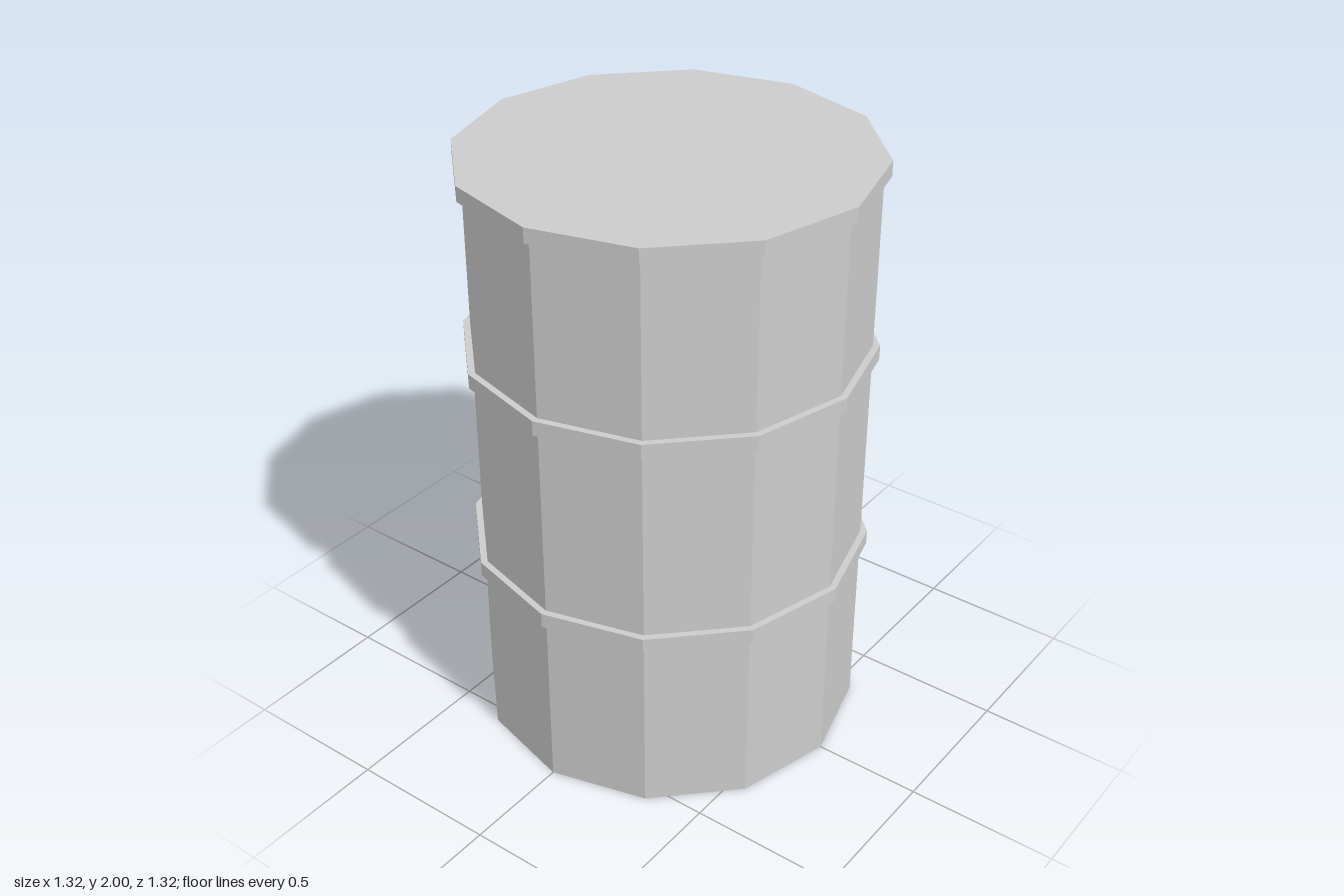
import * as THREE from 'three';

const SIDES = 12;
const BODY_RADIUS = 0.639;
const RIM_RADIUS = 0.661;
const BAND_HEIGHT = 0.05;

export function createModel() {
  const drum = new THREE.Group();
  drum.name = 'drum';
  const steel = new THREE.MeshStandardMaterial({ color: 0xcccccc, flatShading: true });
  steel.name = 'grey steel';

  const add = (name, geometry, y) => {
    const mesh = new THREE.Mesh(geometry, steel);
    mesh.name = name;
    mesh.position.y = y;
    drum.add(mesh);
  };

  // Body, closed at the bottom and running up to the underside of the lid
  const bodyHeight = 2 - BAND_HEIGHT;
  add('body', new THREE.CylinderGeometry(BODY_RADIUS, BODY_RADIUS, bodyHeight, SIDES), bodyHeight / 2);

  // Overhanging lid
  add('lid', new THREE.CylinderGeometry(RIM_RADIUS, RIM_RADIUS, BAND_HEIGHT, SIDES), 2 - BAND_HEIGHT / 2);

  // Raised hoops around the body
  const h = BAND_HEIGHT / 2;
  const profile = [[BODY_RADIUS, -h], [RIM_RADIUS, -h], [RIM_RADIUS, h], [BODY_RADIUS, h]]
    .map(([r, y]) => new THREE.Vector2(r, y));
  const hoop = new THREE.LatheGeometry(profile, SIDES);
  add('lowerHoop', hoop, 0.65);
  add('upperHoop', hoop, 1.355);

  return drum;
}
